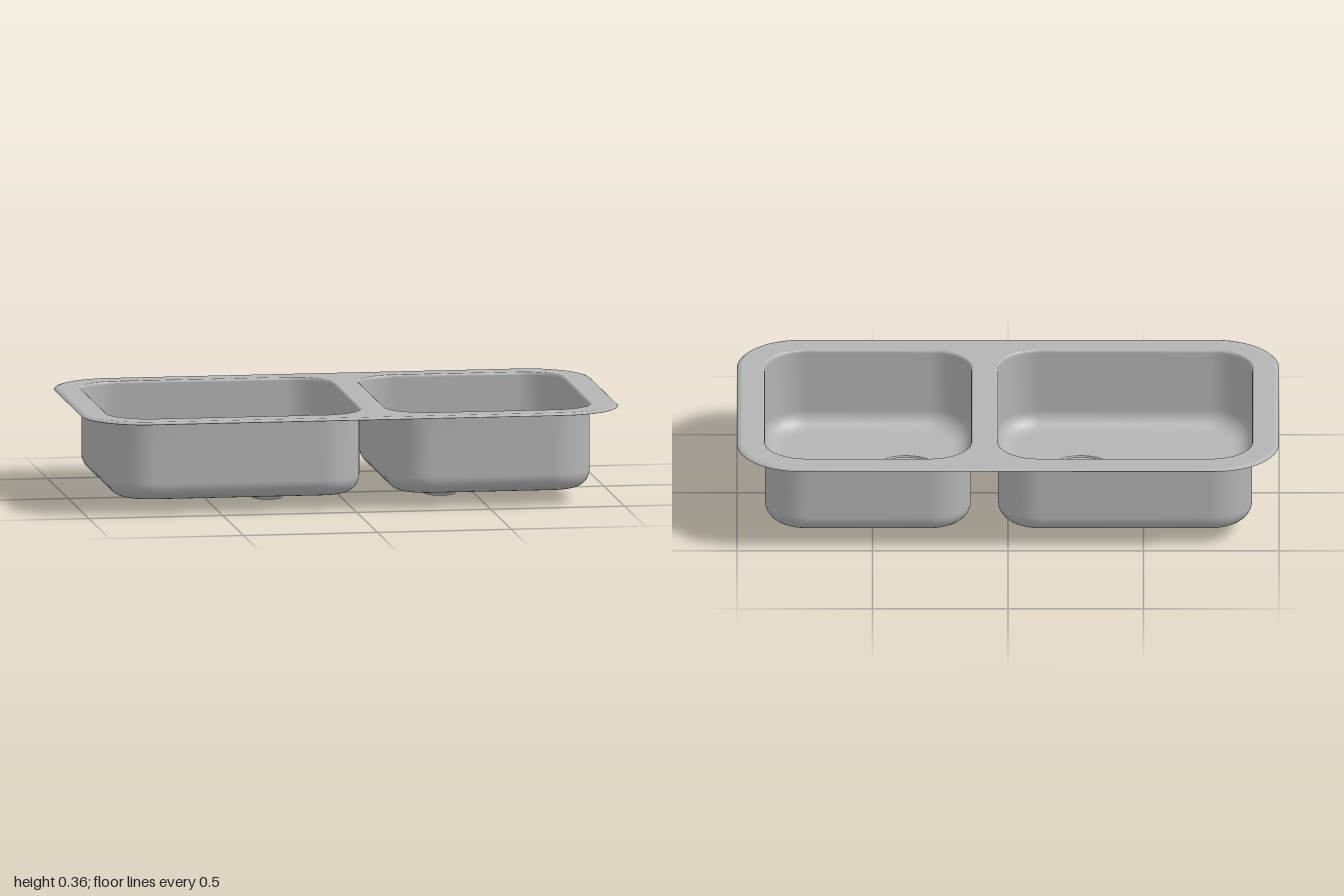
import * as THREE from 'three';
import { toCreasedNormals } from 'three/addons/utils/BufferGeometryUtils.js';

const TOP = 0.362, FLOOR = 0.052, FILLET = 0.065, DRAIN_R = 0.125;

// Counter-clockwise outline of a rounded rectangle (plan, second axis is -z)
function outline(r, inset) {
  const rad = r.r - inset, pts = [], n = 12;
  const x0 = r.x0 + r.r, x1 = r.x1 - r.r, h = r.h - r.r;
  [[x1, h], [x0, h], [x0, -h], [x1, -h]].forEach(([cx, cy], q) => {
    for (let i = 0; i <= n; i++) {
      const a = (q + i / n) * Math.PI / 2;
      pts.push(new THREE.Vector2(cx + rad * Math.cos(a), cy + rad * Math.sin(a)));
    }
  });
  return pts;
}

// Skin through nested outlines, each given as [inset, height]
function loft(rect, levels) {
  const pos = [], idx = [];
  let n = 0;
  for (const [inset, y] of levels) {
    const pts = outline(rect, inset);
    n = pts.length;
    for (const p of pts) pos.push(p.x, y, -p.y);
  }
  for (let k = 0; k < levels.length - 1; k++) {
    for (let i = 0; i < n; i++) {
      const j = (i + 1) % n, a = k * n + i, b = k * n + j;
      idx.push(a, b, a + n, b, b + n, a + n);
    }
  }
  const g = new THREE.BufferGeometry();
  g.setAttribute('position', new THREE.Float32BufferAttribute(pos, 3));
  g.setIndex(idx);
  g.computeVertexNormals();
  return g;
}

// Flat horizontal sheet with holes
function sheet(points, holes, y) {
  const shape = new THREE.Shape(points);
  for (const h of holes) shape.holes.push(new THREE.Path(h));
  return new THREE.ShapeGeometry(shape).rotateX(-Math.PI / 2).translate(0, y, 0);
}

function circle(cx, cy, r) {
  return Array.from({ length: 48 }, (_, i) => {
    const a = i / 48 * Math.PI * 2;
    return new THREE.Vector2(cx + r * Math.cos(a), cy + r * Math.sin(a));
  });
}

export function createModel() {
  const model = new THREE.Group();
  model.name = 'doubleSink';
  const steel = new THREE.MeshStandardMaterial({ color: 0xb4b4b4, side: THREE.DoubleSide });
  steel.name = 'brushed steel';
  const add = (parent, name, geometry) => {
    const m = new THREE.Mesh(geometry, steel);
    m.name = name;
    parent.add(m);
    return m;
  };

  const rim = { x0: -1, x1: 1, h: 0.565, r: 0.235 };
  const bowls = [
    { name: 'largeBowl', x0: -0.908, x1: 0.044, h: 0.471, r: 0.16, drain: -0.27 },
    { name: 'smallBowl', x0: 0.129, x1: 0.904, h: 0.471, r: 0.16, drain: 0.375 },
  ];

  // Rim deck and its turned-down outer edge
  add(model, 'rimDeck', sheet(outline(rim, 0.016), bowls.map(b => outline(b, 0)), TOP));
  add(model, 'rimEdge', loft(rim, [[0.004, 0.352], [0, 0.354], [0.006, 0.359], [0.016, TOP]]));

  // Stepped drain cup, from flange to raised centre
  const cup = [
    [0.125, 0.052], [0.122, 0.047], [0.102, 0.046], [0.096, 0.041], [0.082, 0.026],
    [0.07, 0.024], [0.057, 0.001], [0.053, 0], [0.046, 0], [0.038, 0.014],
    [0.012, 0.016], [0.01, 0.012], [0, 0.012],
  ].map(p => new THREE.Vector2(...p));
  const cupGeometry = toCreasedNormals(new THREE.LatheGeometry(cup, 48), 0.45);

  for (const b of bowls) {
    const group = new THREE.Group();
    group.name = b.name;
    model.add(group);

    // Walls: small rolled lip, straight side, round fillet into the floor
    const levels = [[0, TOP], [0.003, 0.3605], [0.006, 0.357], [0.007, 0.35]];
    for (let i = 0; i <= 8; i++) {
      const a = i / 8 * Math.PI / 2;
      levels.push([0.007 + FILLET * (1 - Math.cos(a)), FLOOR + FILLET * (1 - Math.sin(a))]);
    }
    add(group, 'bowlWalls', loft(b, levels));

    // Floor with drain opening
    const floorEdge = outline(b, 0.007 + FILLET);
    add(group, 'bowlFloor', sheet(floorEdge, [circle(b.drain, -0.085, DRAIN_R)], FLOOR));
    add(group, 'drainCup', cupGeometry).position.set(b.drain, 0, 0.085);
  }
  return model;
}
